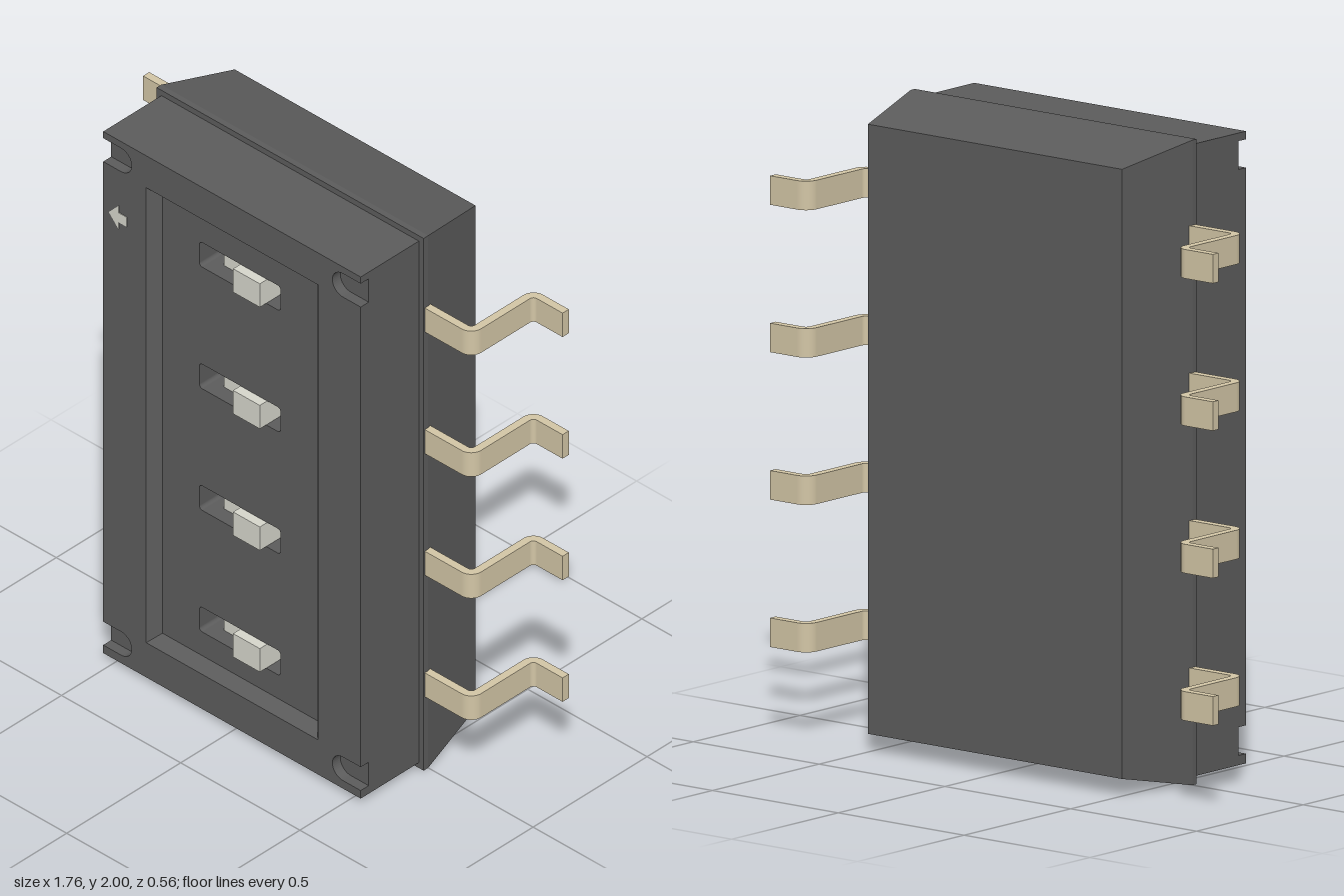
import * as THREE from 'three';

const bodyMat = new THREE.MeshStandardMaterial({ color: 0x5c5c5c });
const pinMat = new THREE.MeshStandardMaterial({ color: 0xd3c6a6 });
const paleMat = new THREE.MeshStandardMaterial({ color: 0xd6d6cc });

const ROWS = [0, 1, 2, 3].map(i => 0.32 + i * 0.457);

function add(parent, name, geometry, material) {
  const mesh = new THREE.Mesh(geometry, material);
  mesh.name = name;
  parent.add(mesh);
  return mesh;
}

// Straight extrusion of a shape from z0 to z1
function slab(shape, z0, z1) {
  return new THREE.ExtrudeGeometry(shape, { depth: z1 - z0, bevelEnabled: false, curveSegments: 10 }).translate(0, 0, z0);
}

function polygon(points) {
  return new THREE.Shape(points.map(([x, y]) => new THREE.Vector2(x, y)));
}

function rect(hx, y0, y1) {
  return polygon([[-hx, y0], [hx, y0], [hx, y1], [-hx, y1]]);
}

function roundedHole(hx, y0, y1, r) {
  const p = new THREE.Path(), h = Math.PI / 2;
  p.absarc(hx - r, y0 + r, r, -h, 0);
  p.absarc(hx - r, y1 - r, r, 0, h);
  p.absarc(-hx + r, y1 - r, r, h, 2 * h);
  p.absarc(-hx + r, y0 + r, r, 2 * h, 3 * h);
  p.closePath();
  return p;
}

// Flat-sided skin through rectangles [halfWidth, y0, y1, z]; caps optional
function loft(sections, capped) {
  const loops = sections.map(([hx, y0, y1, z]) => [[-hx, y0, z], [hx, y0, z], [hx, y1, z], [-hx, y1, z]]);
  const pos = [];
  const quad = (a, b, c, d) => pos.push(...a, ...b, ...c, ...a, ...c, ...d);
  for (let s = 0; s < loops.length - 1; s++) {
    for (let i = 0; i < 4; i++) {
      const j = (i + 1) % 4;
      quad(loops[s][i], loops[s][j], loops[s + 1][j], loops[s + 1][i]);
    }
  }
  if (capped) {
    const [a, b, c, d] = loops[0];
    quad(d, c, b, a);
    quad(...loops[loops.length - 1]);
  }
  const g = new THREE.BufferGeometry();
  g.setAttribute('position', new THREE.Float32BufferAttribute(pos, 3));
  g.computeVertexNormals();
  return g;
}

// Front rim outline with a round-ended notch at each corner
function rimShape() {
  const s = new THREE.Shape(), hx = 0.54, cx = 0.465, r = 0.044, h = Math.PI / 2;
  const low = 0.094, high = 1.911;
  s.moveTo(-hx, 0.02);
  s.lineTo(hx, 0.02);
  for (const cy of [low, high]) {
    s.lineTo(hx, cy - r);
    s.lineTo(cx, cy - r);
    s.absarc(cx, cy, r, -h, h, true);
    s.lineTo(hx, cy + r);
  }
  s.lineTo(hx, 1.98);
  s.lineTo(-hx, 1.98);
  for (const cy of [high, low]) {
    s.lineTo(-hx, cy + r);
    s.lineTo(-cx, cy + r);
    s.absarc(-cx, cy, r, h, -h, true);
    s.lineTo(-hx, cy - r);
  }
  s.closePath();
  s.holes.push(rect(0.36, 0.15, 1.86));
  return s;
}

// Bent strip: out of the body, back, then out to the foot
function pinGeometry() {
  const s = new THREE.Shape(), h = Math.PI / 2, w = 0.09;
  s.moveTo(0.5, -0.015);
  s.lineTo(0.715, -0.015);
  s.absarc(0.715, 0.027, 0.042, -h, 0, false);
  s.lineTo(0.757, 0.24);
  s.absarc(0.772, 0.24, 0.015, 2 * h, h, true);
  s.lineTo(0.88, 0.255);
  s.lineTo(0.88, 0.282);
  s.lineTo(0.772, 0.282);
  s.absarc(0.772, 0.24, 0.042, h, 2 * h, false);
  s.lineTo(0.73, 0.027);
  s.absarc(0.715, 0.027, 0.015, 0, -h, true);
  s.lineTo(0.5, 0.012);
  s.closePath();
  return slab(s, -w / 2, w / 2).rotateX(-h);
}

export function createModel() {
  const model = new THREE.Group();
  model.name = 'slideSwitchBlock';

  // Tapered rear shell with a narrow straight band
  add(model, 'rearShell', loft([
    [0.505, 0.055, 1.945, -0.265],
    [0.56, 0, 2, 0],
    [0.56, 0, 2, 0.02],
  ], true), bodyMat);

  // Front cover: solid base, slotted panel, notched rim, sloped recess border
  const cover = new THREE.Group();
  cover.name = 'frontCover';
  model.add(cover);
  add(cover, 'coverBase', slab(rect(0.54, 0.02, 1.98), 0.02, 0.12), bodyMat);
  const panel = rect(0.54, 0.02, 1.98);
  for (const y of ROWS) panel.holes.push(roundedHole(0.17, y - 0.046, y + 0.046, 0.012));
  add(cover, 'slottedPanel', slab(panel, 0.12, 0.24), bodyMat);
  add(cover, 'coverRim', slab(rimShape(), 0.24, 0.275), bodyMat);
  add(cover, 'recessBevel', loft([[0.36, 0.15, 1.86, 0.275], [0.325, 0.185, 1.825, 0.24]], false), bodyMat);

  // Stepped sliders and pin pairs
  const sliderProfile = polygon([[-0.115, -0.12], [0.112, -0.12], [0.112, -0.27], [0, -0.27], [0, -0.19], [-0.115, -0.19]]);
  const sliderGeo = slab(sliderProfile, -0.044, 0.044).rotateX(-Math.PI / 2);
  const pinGeo = pinGeometry();
  ROWS.forEach((y) => {
    add(model, 'slider', sliderGeo, paleMat).position.y = y;
    add(model, 'leftPin', pinGeo, pinMat).position.y = y;
    const right = add(model, 'rightPin', pinGeo, pinMat);
    right.position.y = y;
    right.rotation.z = Math.PI;
  });

  // Direction arrow beside the top slider
  const arrow = polygon([[-0.515, 0], [-0.474, -0.044], [-0.474, -0.018], [-0.44, -0.018],
    [-0.44, 0.018], [-0.474, 0.018], [-0.474, 0.044]]);
  add(model, 'directionArrow', slab(arrow, 0.274, 0.277), paleMat).position.y = ROWS[3];

  return model;
}
